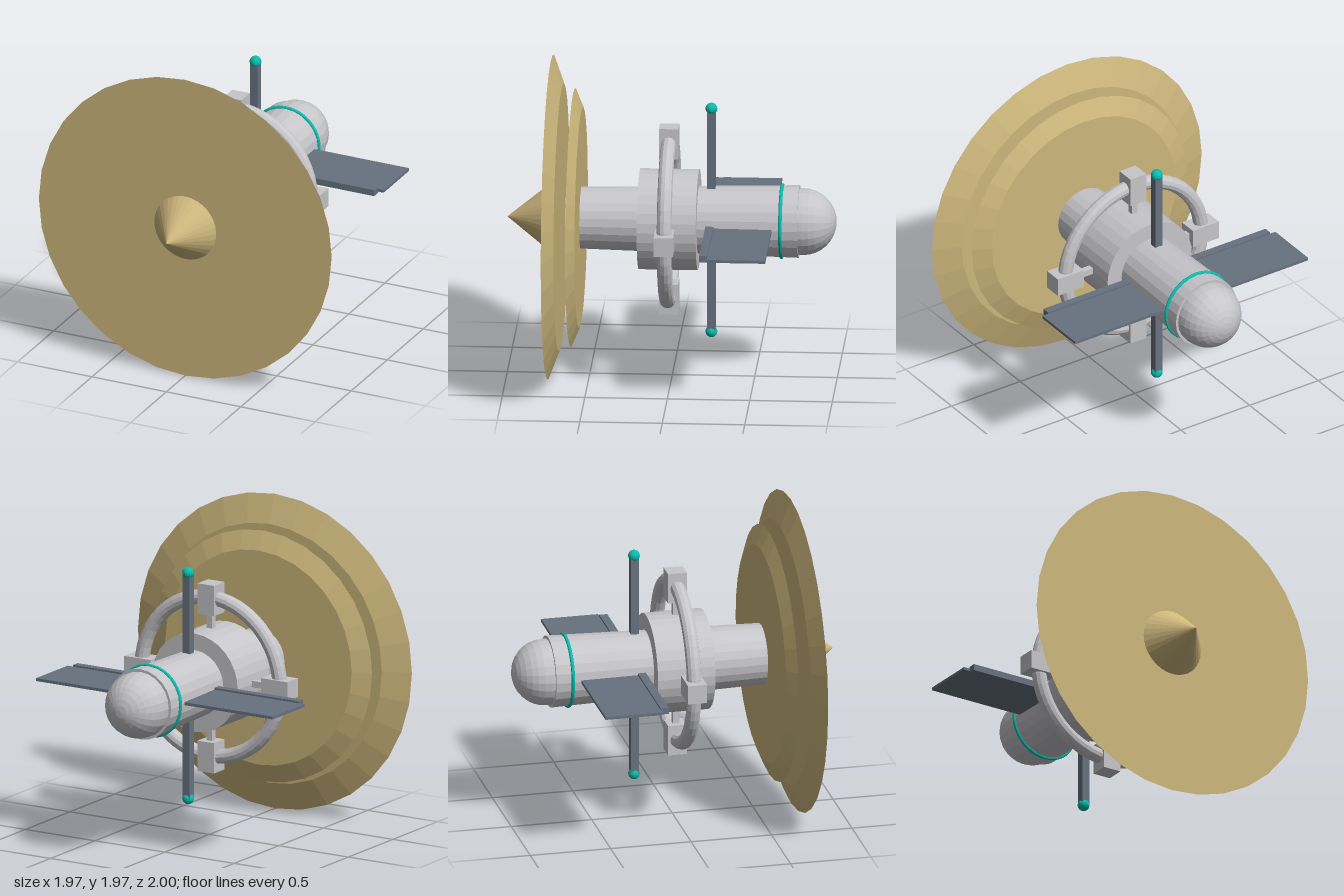
import * as THREE from 'three';

const mat = (name, color, flat = true) => {
  const m = new THREE.MeshStandardMaterial({ color, flatShading: flat });
  m.name = name;
  return m;
};

export function createModel() {
  const root = new THREE.Group();
  root.name = 'spaceProbe';
  const craft = new THREE.Group();
  craft.name = 'craft';
  craft.position.y = 0.984; // long axis height
  root.add(craft);

  const gold = mat('dishGold', 0xcdb77c);
  const grey = mat('hullGrey', 0xc6c6ca);
  const slate = mat('panelSlate', 0x67727f);
  const teal = mat('glowTeal', 0x08bcae);

  const add = (name, geo, material, x = 0, y = 0, z = 0, parent = craft) => {
    const m = new THREE.Mesh(geo, material);
    m.name = name;
    m.position.set(x, y, z);
    parent.add(m);
    return m;
  };
  // Round section along z, from zBack to zFront
  const drum = (name, rFront, rBack, zFront, zBack, sides, material) => {
    const g = new THREE.CylinderGeometry(rFront, rBack, zFront - zBack, sides);
    g.rotateX(Math.PI / 2);
    return add(name, g, material, 0, 0, (zFront + zBack) / 2);
  };

  // Dishes and nose cone
  drum('mainDish', 0.984, 0.81, 0.738, 0.672, 32, gold);
  drum('rearDish', 0.785, 0.67, 0.602, 0.553, 32, gold);
  drum('noseCone', 0, 0.208, 1.0, 0.738, 32, gold);

  // Hull, collar, rear dome and glowing band
  drum('hull', 0.185, 0.22, 0.64, -0.77, 24, grey);
  drum('collar', 0.307, 0.307, 0.198, -0.16, 32, grey);
  const dome = new THREE.SphereGeometry(0.203, 24, 8, 0, Math.PI * 2, 0, Math.PI / 2);
  dome.rotateX(-Math.PI / 2);
  add('dome', dome, grey, 0, 0, -0.793);
  drum('domeNeck', 0.203, 0.203, -0.75, -0.793, 24, grey);
  add('glowBand', new THREE.TorusGeometry(0.219, 0.011, 8, 48), teal, 0, 0, -0.665);

  // Ring with four pods and their struts
  add('ring', new THREE.TorusGeometry(0.495, 0.045, 12, 48), grey, 0, 0, 0.02);
  for (let i = 0; i < 4; i++) {
    const arm = new THREE.Group();
    arm.name = 'ringArm' + (i + 1);
    arm.rotation.z = (i * Math.PI) / 2;
    arm.position.z = 0.02;
    craft.add(arm);
    add('pod', new THREE.BoxGeometry(0.19, 0.117, 0.117), grey, 0.492, 0, 0, arm);
    add('strut', new THREE.BoxGeometry(0.14, 0.04, 0.04), grey, 0.345, 0, 0, arm);
  }

  // Paired panels and antennas
  for (const s of [-1, 1]) {
    const side = s > 0 ? 'left' : 'right';
    add(side + 'Panel', new THREE.BoxGeometry(0.7, 0.018, 0.355), slate, s * 0.5, 0, -0.437);
    add(side + 'PanelSpar', new THREE.BoxGeometry(0.66, 0.04, 0.05), slate, s * 0.48, 0, -0.237);
    const end = s > 0 ? 'upper' : 'lower';
    add(end + 'Antenna', new THREE.BoxGeometry(0.05, 0.55, 0.05), slate, 0, s * 0.43, -0.237);
    add(end + 'AntennaTip', new THREE.SphereGeometry(0.036, 16, 10), teal, 0, s * 0.705, -0.237);
  }
  return root;
}
